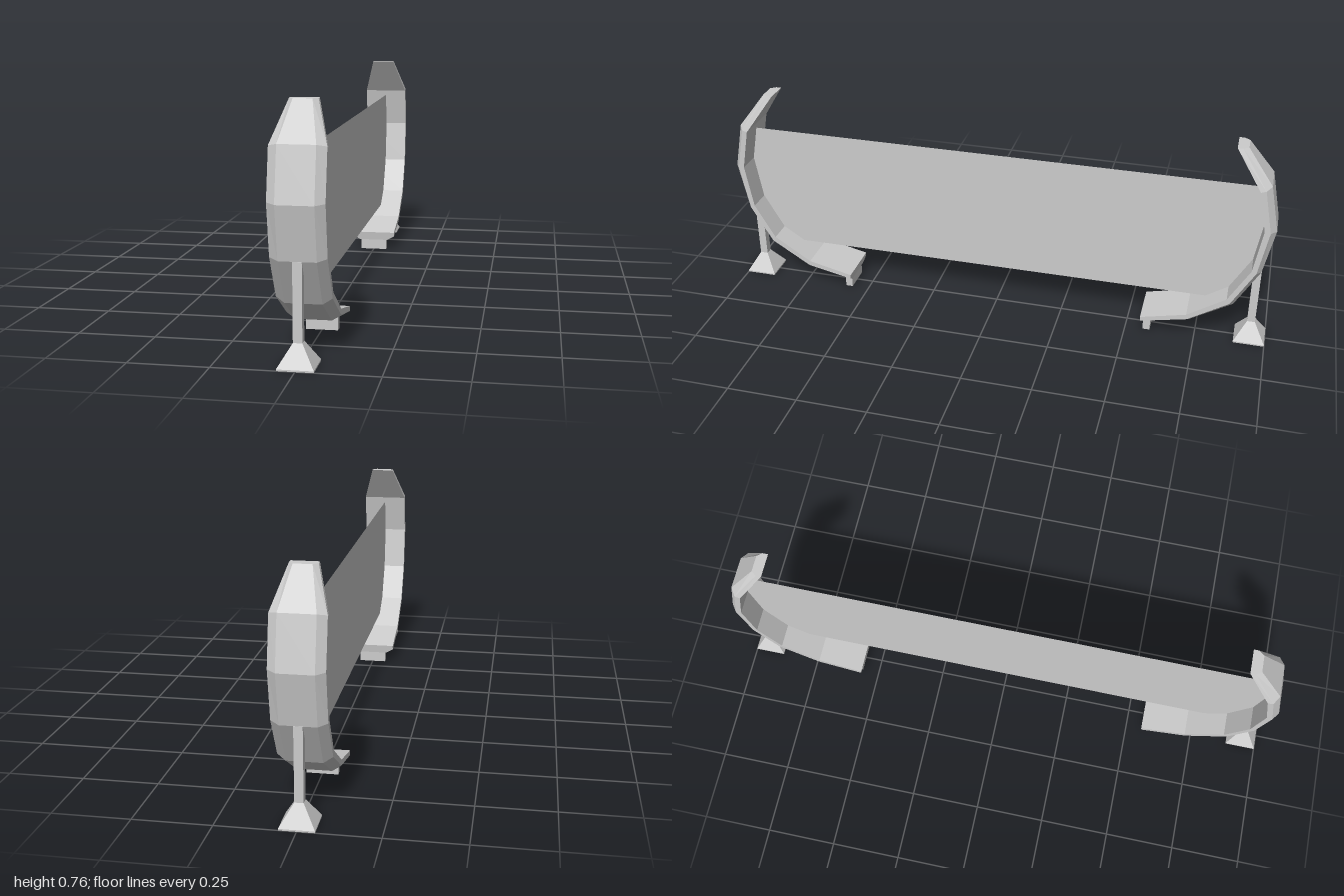
import * as THREE from 'three';

const mat = new THREE.MeshStandardMaterial({ color: 0xcccccc, flatShading: true, side: THREE.DoubleSide });

// Curved arm stations, bottom to top: outer z, y, inner z, y, half width
const STATIONS = [
  [0.56, 0.04, 0.555, 0.072, 0.085],
  [0.725, 0.073, 0.718, 0.11, 0.085],
  [0.875, 0.165, 0.852, 0.198, 0.085],
  [0.957, 0.31, 0.924, 0.325, 0.085],
  [0.99, 0.478, 0.949, 0.485, 0.085],
  [0.956, 0.645, 0.92, 0.632, 0.085],
  [0.865, 0.765, 0.828, 0.765, 0.043],
];

// Loft of a six-sided section with bevelled outer edges
function armGeometry() {
  const pos = [], index = [], n = 6;
  for (const [oz, oy, iz, iy, w] of STATIONS) {
    const mz = (oz + iz) / 2, my = (oy + iy) / 2, o = w * 0.67;
    pos.push(w, iy, iz, w, my, mz, o, oy, oz, -o, oy, oz, -w, my, mz, -w, iy, iz);
  }
  const last = (STATIONS.length - 1) * n;
  for (let i = 0; i < last; i += n) {
    for (let j = 0; j < n; j++) {
      const k = (j + 1) % n;
      index.push(i + j, i + n + j, i + n + k, i + j, i + n + k, i + k);
    }
  }
  for (let j = 1; j < n - 1; j++) {
    index.push(0, j, j + 1, last, last + j + 1, last + j);
  }
  const g = new THREE.BufferGeometry();
  g.setAttribute('position', new THREE.Float32BufferAttribute(pos, 3));
  g.setIndex(index);
  const flat = g.toNonIndexed();
  flat.computeVertexNormals();
  return flat;
}

function add(parent, name, geometry, x = 0, y = 0, z = 0) {
  const mesh = new THREE.Mesh(geometry, mat);
  mesh.name = name;
  mesh.position.set(x, y, z);
  parent.add(mesh);
  return mesh;
}

// One end: arm, post with flared foot, and small support block
function createEnd(name) {
  const end = new THREE.Group();
  end.name = name;
  add(end, 'curvedArm', armGeometry());
  add(end, 'post', new THREE.BoxGeometry(0.028, 0.24, 0.028), 0, 0.19, 0.945);
  const foot = new THREE.CylinderGeometry(0.014 * Math.SQRT2, 0.055 * Math.SQRT2, 0.067, 4, 1).rotateY(Math.PI / 4);
  add(end, 'foot', foot, 0, 0.0385, 0.945);
  add(end, 'footSole', new THREE.BoxGeometry(0.11, 0.005, 0.11), 0, 0.0025, 0.945);
  add(end, 'supportBlock', new THREE.BoxGeometry(0.104, 0.05, 0.026), 0, 0.025, 0.577);
  return end;
}

// Thin panel whose ends follow the inside of the arms
function panelGeometry() {
  const side = [[0.785, 0.147], [0.855, 0.2], [0.928, 0.325], [0.953, 0.485], [0.928, 0.612]];
  const outline = [...side, ...side.map(([z, y]) => [-z, y]).reverse()];
  const shape = new THREE.Shape(outline.map(([z, y]) => new THREE.Vector2(z, y)));
  return new THREE.ShapeGeometry(shape).rotateY(-Math.PI / 2);
}

export function createModel() {
  const model = new THREE.Group();
  model.name = 'model';
  const front = createEnd('frontEnd');
  const back = createEnd('backEnd');
  back.rotation.y = Math.PI;
  model.add(front, back);
  add(model, 'panel', panelGeometry());
  return model;
}
